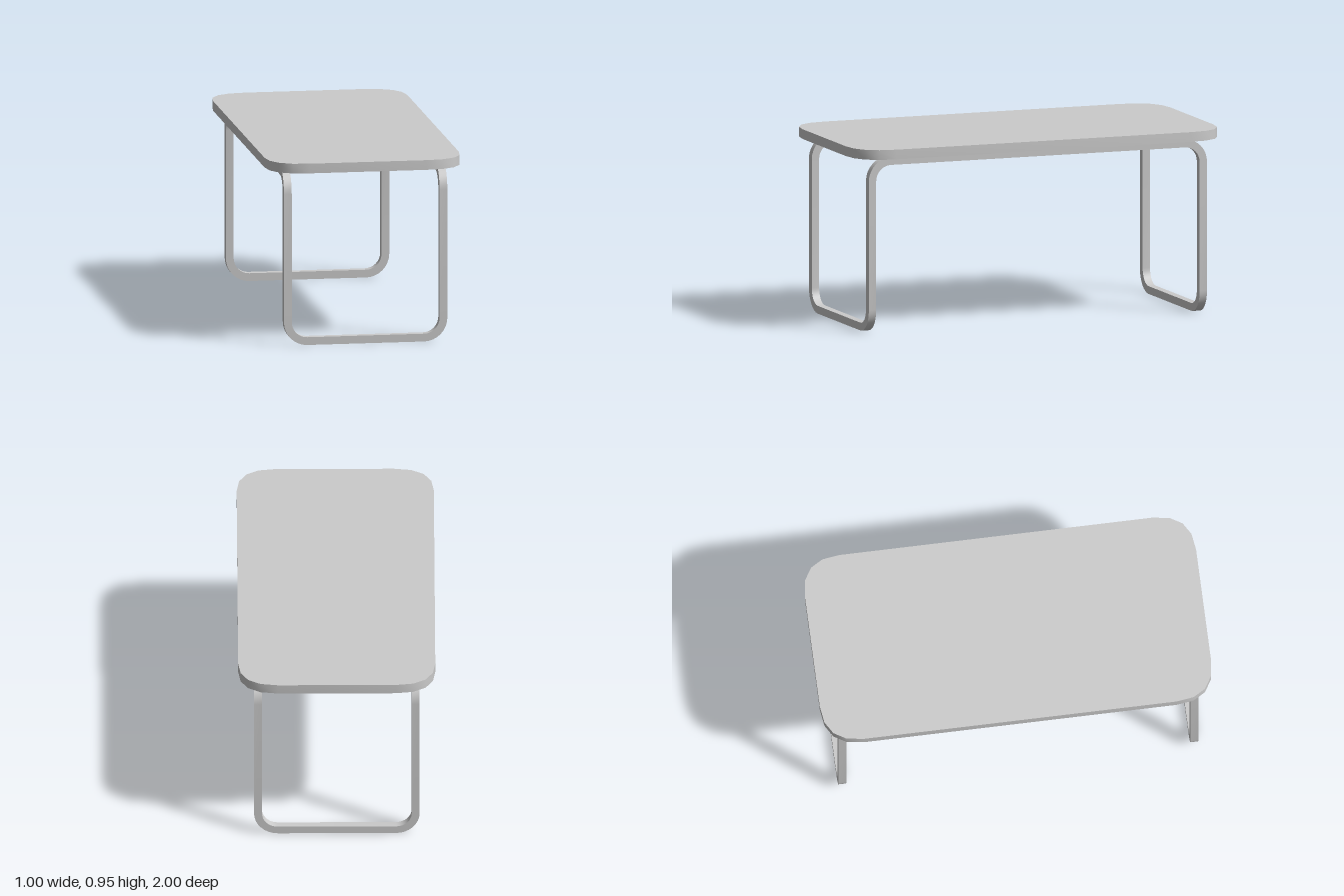
import * as THREE from 'three';
import { toCreasedNormals } from 'three/addons/utils/BufferGeometryUtils.js';

const material = new THREE.MeshStandardMaterial({ color: 0xcccccc });
const vec = (x, y, z) => new THREE.Vector3(x, y, z);
const X = vec(1, 0, 0), Y = vec(0, 1, 0), Z = vec(0, 0, 1);

// Slab with softened corners
function tabletopGeometry() {
  const w = 0.5, l = 1, c = 0.2;
  const s = new THREE.Shape();
  s.moveTo(w, -l + c);
  s.lineTo(w, l - c);
  s.quadraticCurveTo(w, l, w - c, l);
  s.lineTo(-w + c, l);
  s.quadraticCurveTo(-w, l, -w, l - c);
  s.lineTo(-w, -l + c);
  s.quadraticCurveTo(-w, -l, -w + c, -l);
  s.lineTo(w - c, -l);
  s.quadraticCurveTo(w, -l, w, -l + c);
  const g = new THREE.ExtrudeGeometry(s, { depth: 0.05, bevelEnabled: false, curveSegments: 4 });
  g.rotateX(-Math.PI / 2).translate(0, 0.9, 0);
  return toCreasedNormals(g, 0.6);
}

// One side of the bent square bar: half foot, leg, top rail, leg, half foot
function frameHalfGeometry() {
  const half = 0.02, radius = 0.1, steps = 8;
  const rings = [];
  const addRing = (p, t, u) => {
    const v = t.clone().cross(u);
    rings.push([[1, 1], [-1, 1], [-1, -1], [1, -1]].map(([a, b]) =>
      p.clone().addScaledVector(u, a * half).addScaledVector(v, b * half)));
  };
  // Round a corner from direction d0 to d1; u is the section's first axis at entry
  const addBend = (corner, d0, d1, u) => {
    const axis = d0.clone().cross(d1);
    const centre = corner.clone().addScaledVector(d0, -radius).addScaledVector(d1, radius);
    for (let i = 0; i <= steps; i++) {
      const a = (i / steps) * Math.PI / 2;
      const p = centre.clone().addScaledVector(d1, -radius).sub(centre).applyAxisAngle(axis, a).add(centre);
      addRing(p, d0.clone().applyAxisAngle(axis, a), u.clone().applyAxisAngle(axis, a));
    }
  };
  const down = Y.clone().negate(), back = Z.clone().negate(), inward = X.clone().negate();
  addRing(vec(0, 0.02, 0.9), X, Z);
  addBend(vec(0.4, 0.02, 0.9), X, Y, Z);
  addBend(vec(0.4, 0.88, 0.9), Y, back, Z);
  addBend(vec(0.4, 0.88, -0.9), back, down, Y);
  addBend(vec(0.4, 0.02, -0.9), down, inward, back);
  addRing(vec(0, 0.02, -0.9), inward, back);

  // Skin the sections
  const points = [];
  for (let i = 0; i < rings.length - 1; i++) {
    for (let j = 0; j < 4; j++) {
      const k = (j + 1) % 4;
      const a = rings[i][j], b = rings[i][k], c = rings[i + 1][k], d = rings[i + 1][j];
      points.push(a, b, c, a, c, d);
    }
  }
  return toCreasedNormals(new THREE.BufferGeometry().setFromPoints(points), 0.6);
}

export function createModel() {
  const table = new THREE.Group();
  table.name = 'table';

  const top = new THREE.Mesh(tabletopGeometry(), material);
  top.name = 'tabletop';
  table.add(top);

  // Two half frames meet at the middle of each foot bar
  const frame = new THREE.Group();
  frame.name = 'legFrame';
  const geometry = frameHalfGeometry();
  ['leftFrame', 'rightFrame'].forEach((name, i) => {
    const mesh = new THREE.Mesh(geometry, material);
    mesh.name = name;
    mesh.rotation.y = i * Math.PI;
    frame.add(mesh);
  });
  table.add(frame);
  return table;
}
